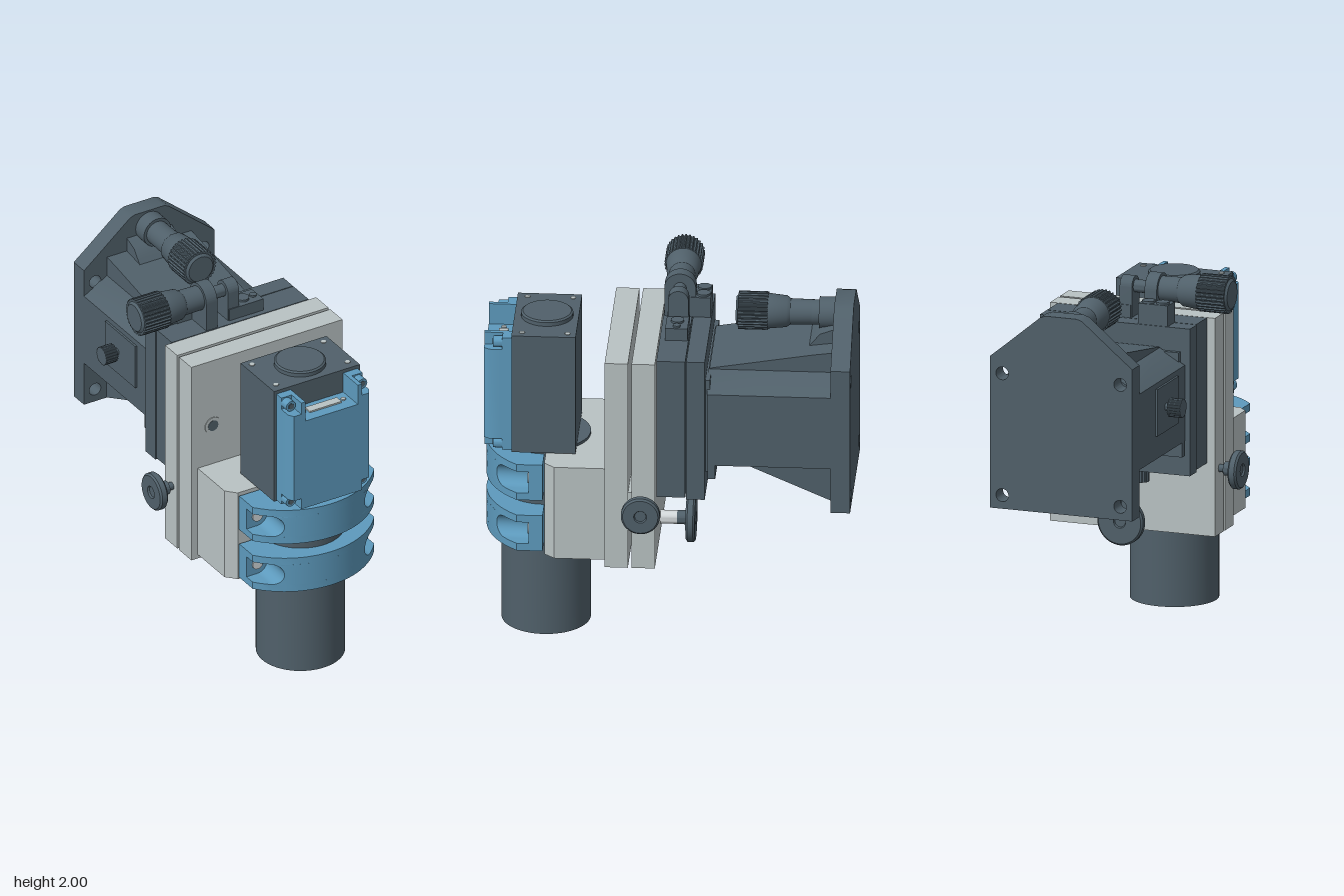
import * as THREE from 'three';
import { toCreasedNormals } from 'three/addons/utils/BufferGeometryUtils.js';

const paint = (name, color) => {
  const m = new THREE.MeshStandardMaterial({ color });
  m.name = name;
  return m;
};

export function createModel() {
  const dark = paint('slate metal', 0x50606a);
  const blue = paint('blue plastic', 0x5d9abd);
  const grey = paint('light grey metal', 0xb9c2c3);
  const steel = paint('bright steel', 0xd3d8da);

  const model = new THREE.Group();
  model.name = 'opticalStage';
  const root = new THREE.Group();
  root.position.x = -0.005;
  model.add(root);

  const add = (name, geo, mat, x = 0, y = 0, z = 0) => {
    const mesh = new THREE.Mesh(geo, mat);
    mesh.name = name;
    mesh.position.set(x, y, z);
    root.add(mesh);
    return mesh;
  };
  const box = (name, mat, x0, x1, y0, y1, z0, z1) => add(name,
    new THREE.BoxGeometry(x1 - x0, y1 - y0, z1 - z0), mat, (x0 + x1) / 2, (y0 + y1) / 2, (z0 + z1) / 2);
  const shapeOf = pts => new THREE.Shape(pts.map(p => new THREE.Vector2(...p)));
  const mirrored = half => [...half, ...half.map(([x, y]) => [-x, y]).reverse()];
  const extrude = (shape, depth) =>
    toCreasedNormals(new THREE.ExtrudeGeometry(shape, { depth, bevelEnabled: false, curveSegments: 24 }), 0.6);

  // Outline in (z, y), pushed along x
  const prismX = (name, mat, pts, x0, x1) =>
    add(name, extrude(shapeOf(pts), x1 - x0).rotateY(-Math.PI / 2), mat, x1, 0, 0);

  // Point a geometry built along +y down another axis
  const aim = (geo, axis) => {
    if (axis === 'x') geo.rotateZ(-Math.PI / 2);
    if (axis === '-x') geo.rotateZ(Math.PI / 2);
    if (axis === 'z') geo.rotateX(Math.PI / 2);
    if (axis === '-z') geo.rotateX(-Math.PI / 2);
    if (axis === '-y') geo.rotateX(Math.PI);
    return geo;
  };
  // Turned part: profile of [radius, distance along axis]
  const turned = (name, mat, profile, axis, x, y, z, sides = 40) => {
    const geo = new THREE.LatheGeometry(profile.map(p => new THREE.Vector2(...p)), sides);
    return add(name, toCreasedNormals(aim(geo, axis), 0.6), mat, x, y, z);
  };
  const rod = (name, mat, r, len, axis, x, y, z, sides) =>
    turned(name, mat, [[0, 0], [r, 0], [r, len], [0, len]], axis, x, y, z, sides);
  // Toothed grip
  const knurl = (name, r, len, axis, x, y, z, teeth = 30) => {
    const pts = [];
    for (let i = 0; i < teeth * 4; i++) {
      const a = i / (teeth * 4) * Math.PI * 2, q = i % 4 < 2 ? r : r * 0.93;
      pts.push([Math.cos(a) * q, Math.sin(a) * q]);
    }
    const geo = new THREE.ExtrudeGeometry(shapeOf(pts), { depth: len, bevelEnabled: false });
    add(name, aim(geo.rotateX(-Math.PI / 2), axis), dark, x, y, z);
  };

  // Barrel and instrument body
  rod('barrel', dark, 0.24, 1.1, 'y', 0, 0, 0.67, 64);
  box('bodyHousing', dark, -0.27, 0.27, 1.09, 1.78, 0.495, 0.84);
  turned('bodyCap', dark, [[0, 0], [0.14, 0], [0.14, 0.022], [0.13, 0.03], [0, 0.03]], 'y', 0, 1.78, 0.665, 48);
  for (const x of [-0.225, 0.225]) for (const z of [0.54, 0.785])
    rod('bodyScrew', grey, 0.016, 0.004, 'y', x, 1.78, z, 6);

  // Front cover with connector notch and screw corners
  const notch = [[0.165, 1.76], [0.165, 1.64]];
  add('coverBase', extrude(shapeOf(mirrored([[0.255, 1.095], [0.255, 1.76], ...notch])), 0.05), blue, 0, 0, 0.84);
  add('coverFront', extrude(shapeOf(mirrored([
    [0.19, 1.095], [0.19, 1.16], [0.235, 1.16], [0.235, 1.69], [0.19, 1.69], [0.19, 1.76], ...notch])), 0.1), blue, 0, 0, 0.89);
  for (const s of [-1, 1]) {
    // Sloping side edge of the cover
    const edge = extrude(shapeOf([[s * 0.235, -0.89], [s * 0.255, -0.89], [s * 0.255, -0.96], [s * 0.235, -0.99]]), 0.53);
    add('coverEdge', edge.rotateX(-Math.PI / 2), blue, 0, 1.16, 0);
    for (const y of [1.127, 1.725]) {
      rod('coverScrew', blue, 0.03, 0.05, 'z', s * 0.225, y, 0.89, 20);
      rod('coverScrewSocket', dark, 0.018, 0.004, 'z', s * 0.225, y, 0.94, 6);
    }
    rod('connectorScrew', grey, 0.014, 0.008, 'y', s * 0.125, 1.64, 0.905, 12);
  }
  box('connector', grey, -0.1, 0.1, 1.64, 1.649, 0.88, 0.93);

  // Blue clamps: stacked outlines, with side pockets for the bolts
  const arcZ = x => 0.505 + Math.sqrt(0.485 ** 2 - x * x);
  const clampRing = xp => {
    const half = [[0.382, 0.665], [0.382, 0.74], [xp, 0.74]];
    const ring = [...half];
    for (let i = 0; i <= 24; i++) {
      const x = xp * (1 - i / 12);
      ring.push([x, arcZ(x)]);
    }
    return [...ring, ...half.map(([x, z]) => [-x, z]).reverse()];
  };
  const clampGeometry = () => {
    const r = 0.063, levels = [[-0.105, 0.382], [-r, 0.382]];
    for (let i = 0; i <= 16; i++) {
      const a = i / 16 * Math.PI;
      levels.push([-r * Math.cos(a), 0.315 - r * Math.sin(a)]);
    }
    levels.push([r, 0.382], [0.105, 0.382]);
    const rings = levels.map(([y, xp]) => clampRing(xp).map(([x, z]) => [x, y, z]));
    const pos = [], n = rings[0].length, top = rings.length - 1;
    const tri = (...p) => p.forEach(v => pos.push(...v));
    for (let j = 0; j < n; j++) {
      const k = (j + 1) % n;
      for (let i = 0; i < top; i++) {
        const a = rings[i][j], b = rings[i][k], c = rings[i + 1][k], d = rings[i + 1][j];
        tri(a, d, c);
        tri(a, c, b);
      }
      tri([0, 0.105, 0.7], rings[top][k], rings[top][j]);
      tri([0, -0.105, 0.7], rings[0][j], rings[0][k]);
    }
    const geo = new THREE.BufferGeometry();
    geo.setAttribute('position', new THREE.Float32BufferAttribute(pos, 3));
    return toCreasedNormals(geo, 0.5);
  };
  for (const y of [0.665, 0.965]) {
    add('clamp', clampGeometry(), blue, 0, y, 0);
    for (const s of [-1, 1]) rod('clampBolt', steel, 0.032, 0.008, 'z', s * 0.315, y, 0.74, 12);
  }

  // Grey cradle and twin plates
  const cradle = shapeOf(mirrored([[0.435, -0.32], [0.435, -0.6], [0.385, -0.655]]));
  add('cradle', extrude(cradle, 0.54).rotateX(-Math.PI / 2), grey, 0, 0.545, 0);
  box('frontPlate', grey, -0.475, 0.475, 0.52, 1.73, 0.2, 0.325);
  box('rearPlate', grey, -0.475, 0.475, 0.52, 1.73, 0.055, 0.18);
  for (const s of [-1, 1]) {
    box('plateLink', grey, Math.min(s * 0.24, s * 0.46), Math.max(s * 0.24, s * 0.46), 0.82, 0.96, 0.17, 0.21);
    rod('plateBoltRim', grey, 0.05, 0.004, 'z', s * 0.34, 1.325, 0.325);
    rod('plateBolt', dark, 0.032, 0.006, 'z', s * 0.34, 1.325, 0.325, 12);
  }

  // Clamping knobs at the sides and behind
  const knob = (axis, x, y, z, r) => {
    turned('knob', dark, [[0, 0.035], [0.038, 0.035], [0.038, 0.085], [r - 0.01, 0.085], [r, 0.095],
      [r, 0.125], [r - 0.01, 0.135], [0.035, 0.135], [0.03, 0.125], [0, 0.125]], axis, x, y, z, 48);
  };
  for (const s of [-1, 1]) {
    rod('knobShaft', dark, 0.022, 0.05, s > 0 ? 'x' : '-x', s * 0.472, 0.885, 0.125, 20);
    knob(s > 0 ? 'x' : '-x', s * 0.472, 0.885, 0.125, 0.105);
  }
  rod('rearKnobShaft', steel, 0.037, 0.12, '-z', 0, 0.603, 0.06, 24);
  knob('-z', 0, 0.603, 0, 0.132);
  rod('lockStem', dark, 0.02, 0.05, '-y', -0.08, 0.92, -0.025, 16);
  knurl('lockKnob', 0.045, 0.075, '-y', -0.08, 0.887, -0.025, 18);

  // Dark sliding stage
  box('stageFront', dark, -0.43, 0.43, 0.925, 1.73, -0.105, 0.05);
  box('stageRear', dark, -0.435, 0.43, 0.915, 1.73, -0.21, -0.11);
  box('stageCore', dark, -0.3, 0.3, 0.94, 1.7, -0.2, 0.0);
  box('slideRail', dark, -0.41, 0.41, 1.03, 1.11, -0.265, -0.225);
  box('slideJoint', dark, -0.38, 0.38, 1.06, 1.6, -0.235, -0.2);

  // Rear housing with sloping ribs and mounting plate
  add('housing', extrude(shapeOf(mirrored([[0.41, 1.11], [0.41, 1.53], [0.265, 1.615]])), 0.67), dark, 0, 0, -0.89);
  prismX('upperRib', dark, [[-0.225, 1.6], [-0.225, 1.62], [-0.78, 1.715], [-0.89, 1.73], [-0.89, 1.6]], -0.265, 0.265);
  prismX('lowerRib', dark, [[-0.27, 1.12], [-0.89, 1.12], [-0.89, 0.85]], -0.27, 0.27);
  prismX('screwSeat', dark, [[-0.735, 1.69], [-0.77, 1.73], [-0.81, 1.78], [-0.89, 1.81], [-0.89, 1.69]], -0.14, 0.14);
  const plate = shapeOf(mirrored([[0.41, 0.85], [0.41, 1.69], [0.33, 1.755], [0.12, 1.93], [0.09, 1.94]]));
  for (const x of [-0.34, 0.34]) for (const y of [0.925, 1.6])
    plate.holes.push(new THREE.Path().absarc(x, y, 0.036, 0, Math.PI * 2, true));
  add('mountingPlate', extrude(plate, 0.105), dark, 0, 0, -0.99);

  // Micrometers: collar, sleeve and knurled grip
  const micrometer = (axis, x, y, z) => {
    turned('micrometerSleeve', dark, [[0, 0], [0.068, 0], [0.07, 0.115], [0.085, 0.135], [0.096, 0.24], [0, 0.24]], axis, x, y, z);
    const d = 0.235, ox = axis === '-x' ? -d : 0, oz = axis === 'z' ? d : 0;
    knurl('micrometerGrip', 0.104, 0.16, axis, x + ox, y, z + oz);
    const e = d + 0.16;
    turned('micrometerEnd', dark, [[0, 0], [0.088, 0], [0.075, 0.012], [0, 0.012]], axis,
      x + (ox ? -e : 0), y, z + (oz ? e : 0));
  };
  rod('rearCollar', dark, 0.085, 0.09, 'z', 0, 1.845, -0.89);
  micrometer('z', 0, 1.845, -0.76);
  rod('rearCollarNeck', dark, 0.068, 0.06, 'z', 0, 1.845, -0.81);
  micrometer('-x', -0.205, 1.895, -0.04);
  rod('spindle', dark, 0.035, 0.14, 'x', -0.16, 1.895, -0.04, 24);

  // Brackets on top of the stage
  const bracket = (w, top) => {
    const s = new THREE.Shape();
    s.moveTo(-0.04 - w, 1.73);
    s.lineTo(-0.04 + w, 1.73);
    s.lineTo(-0.04 + w, top - w);
    s.absarc(-0.04, top - w, w, 0, Math.PI, false);
    return extrude(s, 0.07).rotateY(-Math.PI / 2);
  };
  add('micrometerBracket', bracket(0.085, 1.98), dark, -0.14, 0, 0);
  add('stopBracket', bracket(0.055, 1.95), dark, 0.015, 0, 0);
  box('bracketFoot', dark, -0.305, -0.135, 1.73, 1.845, -0.205, -0.1);
  box('stopFoot', dark, -0.05, 0.165, 1.73, 1.8, -0.1, 0.02);
  for (const [x, y, z] of [[-0.262, 1.845, -0.165], [-0.18, 1.845, -0.165], [0.07, 1.8, -0.04]])
    rod('footScrew', dark, 0.036, 0.012, 'y', x, y, z, 20);
  rod('stopPin', dark, 0.02, 0.01, 'y', 0.135, 1.8, -0.04, 12);

  // Side lock on the housing
  box('lockPad', dark, -0.422, -0.4, 1.24, 1.5, -0.65, -0.34);
  rod('sideLockStem', dark, 0.02, 0.05, '-x', -0.41, 1.375, -0.525, 16);
  knurl('sideLockKnob', 0.052, 0.075, '-x', -0.445, 1.375, -0.525, 20);

  return model;
}
